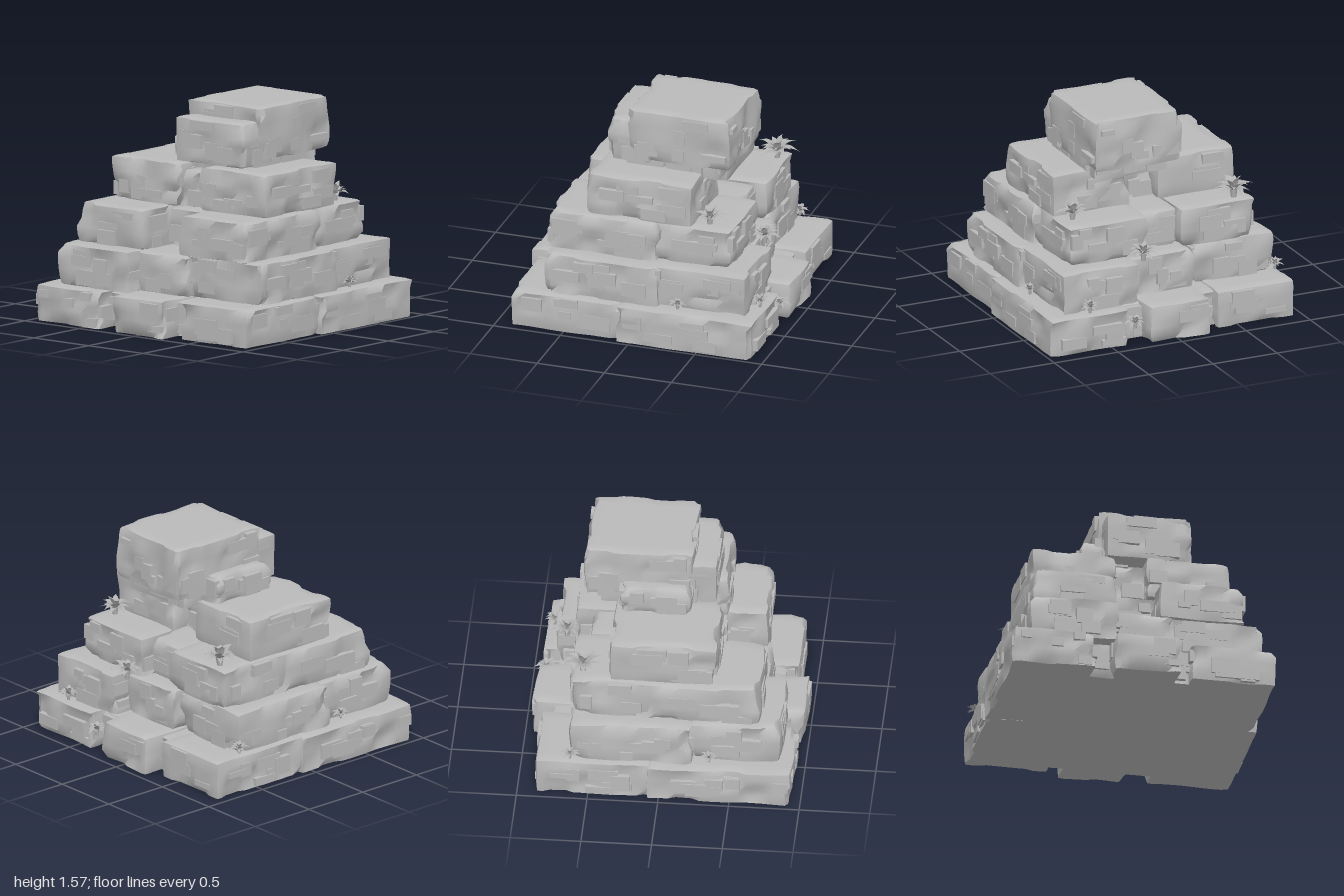
import * as THREE from 'three';
import { mergeGeometries, mergeVertices, toCreasedNormals } from 'three/addons/utils/BufferGeometryUtils.js';

const stoneMat = new THREE.MeshStandardMaterial({ color: 0xbababa });
stoneMat.name = 'grey stone';
const leafMat = new THREE.MeshStandardMaterial({ color: 0xb4b4b4, side: THREE.DoubleSide });
leafMat.name = 'grey leaf';

function makeRandom(seed) {
  let s = seed * 7919 + 17;
  return () => {
    s = (s * 1664525 + 1013904223) % 4294967296;
    return s / 4294967296;
  };
}

const hash = (a, b, c) => {
  const v = Math.sin(a * 127.1 + b * 311.7 + c * 74.7) * 43758.5453;
  return v - Math.floor(v);
};

// Weathered block: rounded edges, stepped chips and soft dents on the sides, flat top
function blockGeometry([x0, x1, y0, y1, z0, z1], seed) {
  const half = new THREE.Vector3((x1 - x0) / 2, (y1 - y0) / 2, (z1 - z0) / 2);
  const segs = half.toArray().map((h) => Math.max(3, Math.round((h * 2) / 0.055)));
  let geo = new THREE.BoxGeometry(half.x * 2, half.y * 2, half.z * 2, ...segs);
  geo.deleteAttribute('normal');
  geo.deleteAttribute('uv');
  geo = mergeVertices(geo);
  const pos = geo.attributes.position;
  const p = new THREE.Vector3(), inner = new THREE.Vector3();
  for (let i = 0; i < pos.count; i++) {
    p.fromBufferAttribute(pos, i);
    const flatBottom = y0 === 0 && p.y < -half.y + 0.001;
    const onX = Math.abs(p.x) > half.x - 0.001, onZ = Math.abs(p.z) > half.z - 0.001;
    const sx = Math.sign(p.x), sz = Math.sign(p.z);
    // one chip value per brick-like cell of the wall
    const cell = hash(Math.floor(p.x / 0.17 + seed), Math.floor(p.y / 0.1 + seed), Math.floor(p.z / 0.17));
    const chip = cell > 0.72 ? 0.022 : 0;
    const dent = 0.008 + 0.008 * Math.sin(p.x * 11 + seed) * Math.cos(p.z * 12 + p.y * 14 + seed * 2);
    const r = 0.018 + 0.022 * hash(Math.floor(p.x / 0.2), seed, Math.floor(p.z / 0.2));
    inner.set(
      THREE.MathUtils.clamp(p.x, -half.x + r, half.x - r),
      THREE.MathUtils.clamp(p.y, -half.y + r, half.y - r),
      THREE.MathUtils.clamp(p.z, -half.z + r, half.z - r));
    const y = p.y;
    p.sub(inner).setLength(r).add(inner);
    if (onX) p.x -= sx * (chip + dent);
    if (onZ) p.z -= sz * (chip + dent);
    if (flatBottom) p.y = y;
    pos.setXYZ(i, p.x, p.y, p.z);
  }
  geo = toCreasedNormals(geo, 0.75);
  geo.translate((x0 + x1) / 2, (y0 + y1) / 2, (z0 + z1) / 2);
  return geo;
}

// Thin brick-like flakes standing slightly proud of the four walls
function flakeGeometry([x0, x1, y0, y1, z0, z1], seed) {
  const rnd = makeRandom(seed);
  const flakes = [];
  for (let side = 0; side < 4; side++) {
    const alongX = side < 2;
    const [a0, a1] = alongX ? [x0, x1] : [z0, z1];
    const count = Math.round((a1 - a0) / 0.14);
    for (let k = 0; k < count; k++) {
      const w = Math.min(0.08 + rnd() * 0.14, (a1 - a0) * 0.5);
      const h = Math.min(0.04 + rnd() * 0.08, (y1 - y0) * 0.6);
      const a = a0 + 0.02 + w / 2 + rnd() * (a1 - a0 - w - 0.04);
      const y = y0 + h / 2 + 0.005 + rnd() * (y1 - y0 - h - 0.015);
      const wall = [z1, z0, x1, x0][side] + (side % 2 ? 1 : -1) * (0.014 + rnd() * 0.014);
      const g = alongX ? new THREE.BoxGeometry(w, h, 0.04) : new THREE.BoxGeometry(0.04, h, w);
      g.rotateY((rnd() - 0.5) * 0.05);
      g.translate(alongX ? a : wall, y, alongX ? wall : a);
      flakes.push(g.toNonIndexed());
    }
  }
  return mergeGeometries(flakes);
}

// Pointed, folded leaf lofted along an upward curve
function leafGeometry(length, lift, turn, baseY) {
  const pts = [], idx = [];
  const rows = 5;
  for (let i = 0; i <= rows; i++) {
    const t = i / rows;
    const w = length * (0.05 + 0.2 * Math.sin(Math.PI * Math.pow(t, 0.8))) * (1 - t * t);
    const out = length * t * Math.cos(lift);
    const up = baseY + length * (t * Math.sin(lift) + 0.15 * Math.sin(t * Math.PI) - 0.06 * t * t);
    pts.push(out, up + w * 0.35, -w, out, up, 0, out, up + w * 0.35, w);
    if (i < rows) {
      const b = i * 3;
      for (const j of [b, b + 1]) idx.push(j, j + 1, j + 3, j + 1, j + 4, j + 3);
    }
  }
  const g = new THREE.BufferGeometry();
  g.setAttribute('position', new THREE.Float32BufferAttribute(pts, 3));
  g.setIndex(idx);
  g.rotateY(turn);
  g.computeVertexNormals();
  return g;
}

function plant([x, y, z, r], seed) {
  const rnd = makeRandom(seed + 50);
  const leaves = [];
  // rings of leaves from spreading to upright
  [[8, 0.12, 1], [7, 0.5, 0.95], [5, 1.0, 0.85]].forEach(([n, lift, len], ring) => {
    for (let i = 0; i < n; i++) {
      const turn = ((i + ring * 0.5) / n) * Math.PI * 2 + (rnd() - 0.5) * 0.3;
      leaves.push(leafGeometry(r * len * (0.85 + rnd() * 0.3), lift + (rnd() - 0.5) * 0.3, turn, r * 0.4));
    }
  });
  const group = new THREE.Group();
  group.name = 'succulentPlant';
  const rosette = new THREE.Mesh(mergeGeometries(leaves), leafMat);
  rosette.name = 'leafRosette';
  const stem = new THREE.Mesh(new THREE.CylinderGeometry(r * 0.2, r * 0.12, r * 0.55, 7), leafMat);
  stem.name = 'stem';
  stem.position.y = r * 0.25;
  group.add(rosette, stem);
  group.position.set(x, y, z);
  return group;
}

// Each block: x0, x1, y0, y1, z0, z1
const tiers = {
  baseTier: [
    [-0.95, 0.1, 0, 0.265, -0.97, -0.36], [0.05, 0.88, 0, 0.27, -0.95, -0.33],
    [-0.985, -0.3, 0, 0.27, -0.24, 0.25], [0.3, 0.955, 0, 0.27, -0.26, 0.23],
    [-0.9, -0.05, 0, 0.268, 0.32, 0.95], [-0.11, 0.93, 0, 0.272, 0.36, 0.985],
    [-0.8, 0.8, 0, 0.25, -0.5, 0.5],
  ],
  secondTier: [
    [-0.86, -0.2, 0.26, 0.56, -0.83, -0.17], [-0.24, 0.64, 0.26, 0.562, -0.9, -0.25],
    [-0.67, 0.2, 0.26, 0.56, 0.14, 0.9], [0.05, 0.83, 0.26, 0.563, 0.24, 0.85],
    [-0.73, 0.69, 0.26, 0.55, -0.26, 0.26],
  ],
  thirdTier: [
    [-0.71, 0.2, 0.55, 0.84, -0.78, -0.16], [0.05, 0.65, 0.55, 0.842, -0.76, -0.15],
    [-0.69, 0.15, 0.55, 0.84, 0.14, 0.77], [0.06, 0.68, 0.55, 0.843, 0.1, 0.73],
    [-0.4, 0.56, 0.55, 0.82, -0.2, 0.2],
  ],
  fourthTier: [
    [-0.4, 0.375, 0.83, 1.14, -0.72, -0.1], [-0.415, 0.385, 0.83, 1.145, 0.1, 0.72],
    [-0.34, 0.26, 0.83, 1.09, -0.15, 0.15],
  ],
  capTier: [
    [-0.355, 0, 1.15, 1.47, -0.17, 0.46], [-0.19, 0.595, 1.19, 1.572, -0.205, 0.49],
    [-0.22, 0.49, 1.09, 1.24, -0.14, 0.45], [-0.18, 0.33, 1.13, 1.335, -0.32, -0.12],
  ],
};

// Each plant: x, y, z, radius
const plants = [
  [0.56, 0.83, -0.61, 0.145], [0.48, 0.83, 0.61, 0.125], [0.74, 0.55, 0.18, 0.125],
  [0.9, 0.12, 0.32, 0.085], [0.87, 0.28, 0.66, 0.085], [0.33, 0.27, 0.87, 0.075],
  [0.63, 0.28, -0.9, 0.075], [-0.35, 0.28, -0.86, 0.07],
];

export function createModel() {
  const model = new THREE.Group();
  model.name = 'steppedStonePile';
  let seed = 1;
  for (const [name, blocks] of Object.entries(tiers)) {
    const tier = new THREE.Group();
    tier.name = name;
    for (const box of blocks) {
      const block = new THREE.Mesh(blockGeometry(box, seed), stoneMat);
      block.name = 'stoneBlock';
      const flakes = new THREE.Mesh(flakeGeometry(box, seed), stoneMat);
      flakes.name = 'stoneFlakes';
      tier.add(block, flakes);
      seed++;
    }
    model.add(tier);
  }
  plants.forEach((p, i) => model.add(plant(p, i)));
  return model;
}
